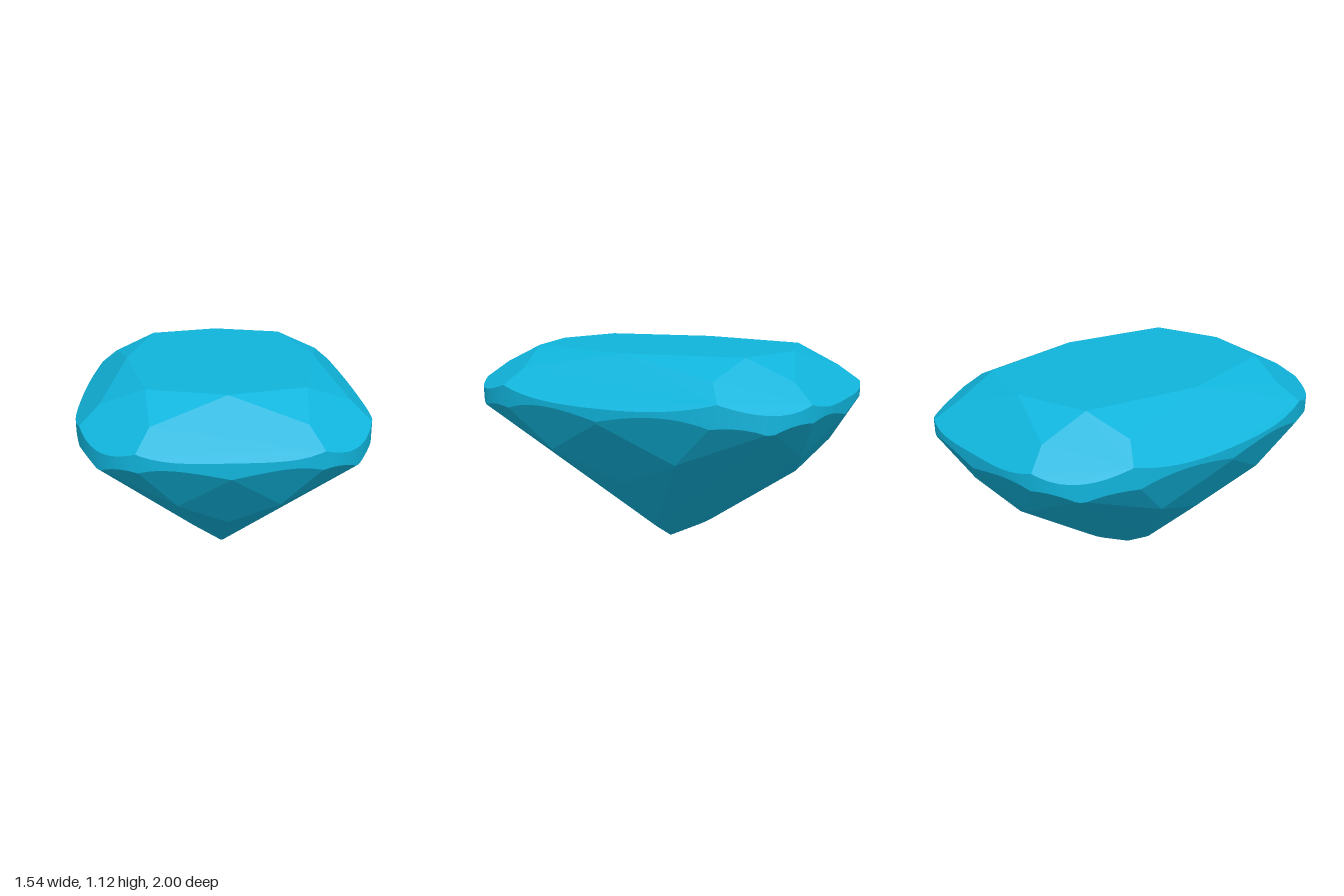
import * as THREE from 'three';

const V = (x, y, z) => new THREE.Vector3(x, y, z);
const CENTRE = V(0, 0.85, 0);

// Cushion outline: |x/a|^n + |z|^m = 1
const A = 0.772, N = 3.8, M = 2.5, SEGMENTS = 128;
const outlineValue = (x, z) => Math.abs(x / A) ** N + Math.abs(z) ** M;

function outlinePoint(angle) {
  const c = Math.cos(angle), s = Math.sin(angle);
  let lo = 0, hi = 2;
  for (let i = 0; i < 40; i++) {
    const r = (lo + hi) / 2;
    if (outlineValue(r * c, r * s) < 1) lo = r; else hi = r;
  }
  return V(lo * c, 0, lo * s);
}

// Outward normal of the outline, for the smooth girdle
function outlineNormal(p) {
  const gx = Math.sign(p.x) * (N / A) * Math.abs(p.x / A) ** (N - 1);
  const gz = Math.sign(p.z) * M * Math.abs(p.z) ** (M - 1);
  return V(gx, 0, gz).normalize();
}

// Plane through three points, facing away from the middle of the stone
function planeThrough(a, b, c) {
  const plane = new THREE.Plane().setFromCoplanarPoints(a, b, c);
  return plane.distanceToPoint(CENTRE) > 0 ? plane.negate() : plane;
}

// Keep the part of a polygon behind a plane
function clip(poly, plane) {
  const out = [];
  poly.forEach((p, i) => {
    const q = poly[(i + 1) % poly.length];
    const dp = plane.distanceToPoint(p), dq = plane.distanceToPoint(q);
    if (dp <= 0) out.push(p);
    if ((dp < 0 && dq > 0) || (dp > 0 && dq < 0)) out.push(p.clone().lerp(q, dp / (dp - dq)));
  });
  return out;
}

// The face of one cutting plane, trimmed by all the others
function facePolygon(cut, cuts) {
  const n = cut.plane.normal;
  const u = (Math.abs(n.y) > 0.9 ? V(1, 0, 0) : V(0, 1, 0)).cross(n).normalize();
  const v = n.clone().cross(u);
  const o = cut.plane.projectPoint(CENTRE, V(0, 0, 0));
  let poly = [[-4, -4], [4, -4], [4, 4], [-4, 4]].map(([s, t]) =>
    o.clone().addScaledVector(u, s).addScaledVector(v, t));
  for (const other of cuts) {
    if (other !== cut && poly.length) poly = clip(poly, other.plane);
  }
  return poly;
}

function createCuts() {
  const cuts = [];
  const add = (part, plane) => {
    const same = cuts.some((c) => c.plane.normal.dot(plane.normal) > 0.999999);
    if (!same) cuts.push({ part, plane });
  };

  // Table and crown corner points
  const tFront = V(0, 1.125, 0.72), tCorner = V(0.385, 1.125, 0.61), tSide = V(0.51, 1.125, 0);
  const cFront = V(0.36, 1.02, 0.85), cSide = V(0.61, 1.035, 0.54);
  const flipX = (p) => V(-p.x, p.y, p.z), flipZ = (p) => V(p.x, p.y, -p.z);
  // Pavilion points: culet ends, ridge ends, girdle cusps
  const lowFront = V(0, 0.135, 0.25), lowSide = V(0.18, 0.115, 0);
  const ridgeFront = V(0, 0.49, 0.75), ridgeSide = V(0.535, 0.46, 0);
  const midFront = V(0.24, 0.63, 0.856), midSide = V(0.64, 0.62, 0.36);
  const gFront = V(0, 0.82, 1), gSide = V(0.77, 0.82, 0), gCorner = V(0.61, 0.825, 0.84);
  const cuspFront = V(0.4, 0.83, 0.955), cuspSide = V(0.715, 0.83, 0.57);

  const facets = [
    ['table', tFront, tCorner, tSide],
    // crown: star facets, then main kites
    ['crown', tFront, tCorner, cFront],
    ['crown', tCorner, tSide, cSide],
    ['crown', tFront, cFront, flipX(cFront)],
    ['crown', tSide, cSide, flipZ(cSide)],
    ['crown', tCorner, cFront, cSide],
    // pavilion: corner kite and the facets beside it
    ['pavilion', V(0, 0, 0), V(1, 0.63, 0), V(0, 0.525, 1)],
    ['pavilion', lowFront, midFront, gCorner],
    ['pavilion', lowSide, midSide, gCorner],
    ['pavilion', lowFront, ridgeFront, midFront],
    ['pavilion', lowSide, ridgeSide, midSide],
    // pavilion: upper kites and girdle facets
    ['pavilion', ridgeFront, midFront, flipX(midFront)],
    ['pavilion', ridgeSide, midSide, flipZ(midSide)],
    ['pavilion', gFront, midFront, cuspFront],
    ['pavilion', cuspFront, midFront, gCorner],
    ['pavilion', gSide, midSide, cuspSide],
    ['pavilion', cuspSide, midSide, gCorner],
  ];
  for (const [part, ...points] of facets) {
    for (const sx of [1, -1]) for (const sz of [1, -1]) {
      add(part, planeThrough(...points.map((p) => V(p.x * sx, p.y, p.z * sz))));
    }
  }

  // Girdle: upright cuts round the outline
  for (let i = 0; i < SEGMENTS; i++) {
    const a = outlinePoint((i / SEGMENTS) * Math.PI * 2);
    const b = outlinePoint(((i + 1) / SEGMENTS) * Math.PI * 2);
    add('girdle', planeThrough(a, b, a.clone().setY(1)));
  }
  return cuts;
}

export function createModel() {
  const group = new THREE.Group();
  group.name = 'cushionCutGem';
  const material = new THREE.MeshStandardMaterial({ color: 0x10b4dc });
  const cuts = createCuts();

  for (const part of ['table', 'crown', 'girdle', 'pavilion']) {
    const positions = [], normals = [];
    for (const cut of cuts.filter((c) => c.part === part)) {
      const poly = facePolygon(cut, cuts);
      for (let i = 1; i < poly.length - 1; i++) {
        for (const p of [poly[0], poly[i], poly[i + 1]]) {
          positions.push(p.x, p.y, p.z);
          const n = part === 'girdle' ? outlineNormal(p) : cut.plane.normal;
          normals.push(n.x, n.y, n.z);
        }
      }
    }
    const geometry = new THREE.BufferGeometry();
    geometry.setAttribute('position', new THREE.Float32BufferAttribute(positions, 3));
    geometry.setAttribute('normal', new THREE.Float32BufferAttribute(normals, 3));
    const mesh = new THREE.Mesh(geometry, material);
    mesh.name = part;
    group.add(mesh);
  }
  return group;
}
